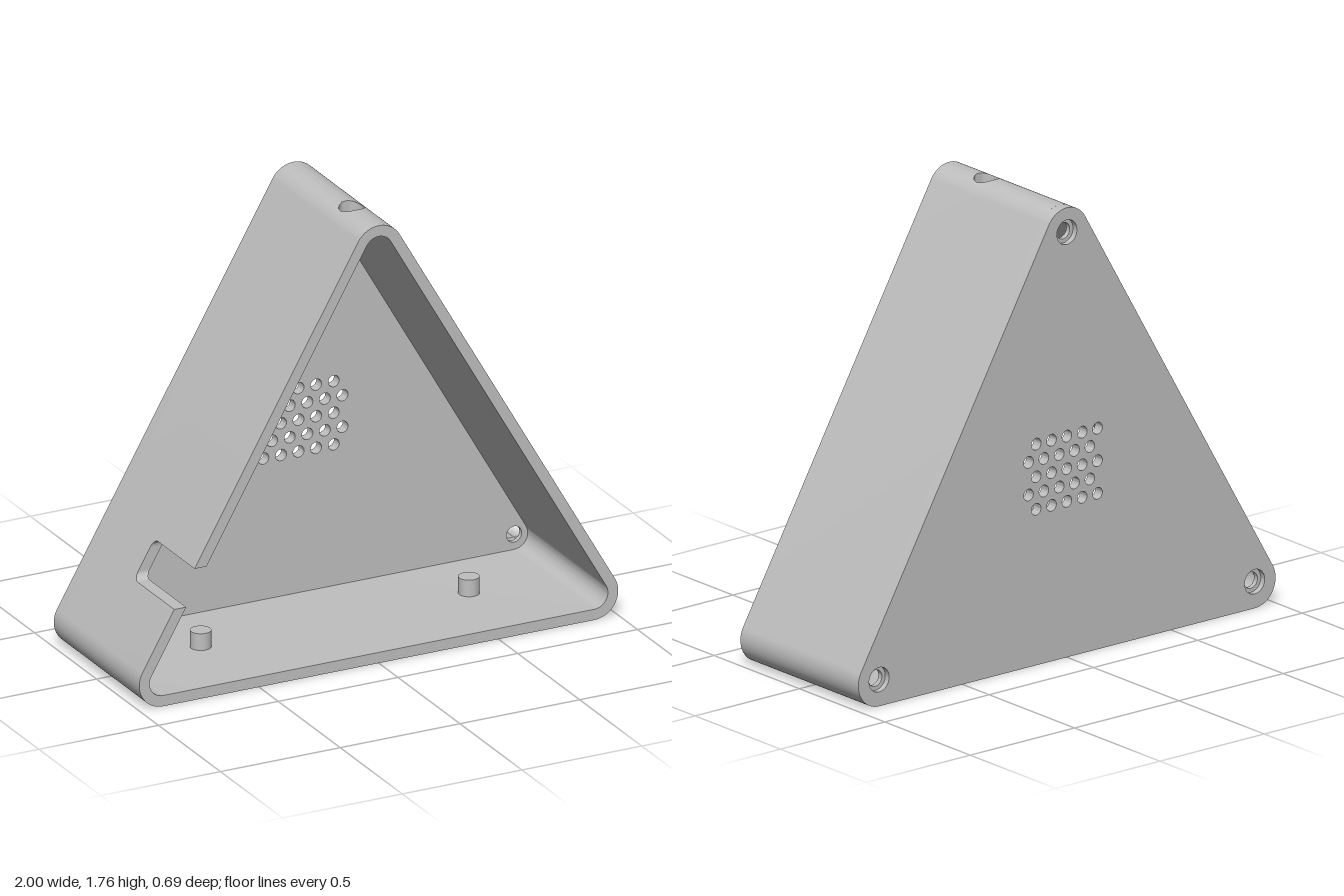
import * as THREE from 'three';
import { mergeGeometries, toCreasedNormals } from 'three/addons/utils/BufferGeometryUtils.js';

const R = 0.1, r = 0.057;                 // outer and inner corner radius
const BACK = -0.345, FLOOR = -0.302, FRONT = 0.345;
const H = 0.1 + 0.9 * Math.sqrt(3);       // height of the apex centre
const RIGHT = [0.9, 0.1], TOP = [0, H], LEFT = [-0.9, 0.1];
const DEG = Math.PI / 180;

const V = (x, y) => new THREE.Vector2(x, y);

function arc([cx, cy], rad, from, to, n = 24) {
  const pts = [];
  for (let i = 0; i <= n; i++) {
    const a = (from + (to - from) * i / n) * DEG;
    pts.push(V(cx + rad * Math.cos(a), cy + rad * Math.sin(a)));
  }
  return pts;
}

function extrude(shape, z0, z1) {
  const g = new THREE.ExtrudeGeometry(shape, { depth: z1 - z0, bevelEnabled: false, curveSegments: 24 });
  return g.translate(0, 0, z0);
}

function join(list) {
  const clean = list.map(g => {
    const c = g.index ? g.toNonIndexed() : g;
    c.deleteAttribute('uv');
    c.deleteAttribute('normal');
    return c;
  });
  return toCreasedNormals(mergeGeometries(clean), 0.5);
}

// Back plate with counterbored screw holes and a staggered grille
function backPlate() {
  const layer = (screwRadius, z0, z1) => {
    const s = new THREE.Shape([...arc(RIGHT, R, -90, 30), ...arc(TOP, R, 30, 150), ...arc(LEFT, R, 150, 270)]);
    const hole = (x, y, rad) => s.holes.push(new THREE.Path().absarc(x, y, rad, 0, Math.PI * 2, true));
    for (const [x, y] of [RIGHT, TOP, LEFT]) hole(x, y + 0.004, screwRadius);
    for (let row = 0; row < 5; row++)
      for (let col = 0; col < 5; col++)
        hole(-0.147 + col * 0.0735 + (row % 2) * 0.0367, 0.61 + row * 0.0637, 0.023);
    return extrude(s, z0, z1);
  };
  const step = BACK + 0.023;
  return join([layer(0.048, BACK, step), layer(0.032, step, FLOOR)]);
}

// Horizontal position of the left wall at height y, for corner radius rad
const wallX = (y, rad) => -0.9 + (y - 0.1) / Math.sqrt(3) - rad * 2 / Math.sqrt(3);

// Left wall panel with a round-cornered slot open to the front
function slotPanel(y0, y1) {
  const lo = 0.38, hi = 0.527, end = 0.02, f = 0.03;
  const s = new THREE.Shape();
  s.moveTo(FLOOR, y0);
  s.lineTo(FRONT, y0);
  s.lineTo(FRONT, lo);
  s.lineTo(end + f, lo);
  s.absarc(end + f, lo + f, f, -Math.PI / 2, -Math.PI, true);
  s.lineTo(end, hi - f);
  s.absarc(end + f, hi - f, f, Math.PI, Math.PI / 2, true);
  s.lineTo(FRONT, hi);
  s.lineTo(FRONT, y1);
  s.lineTo(FLOOR, y1);
  const g = extrude(s, 0, wallX(0, r) - wallX(0, R));
  const p = g.attributes.position;
  for (let i = 0; i < p.count; i++) {
    const u = p.getX(i), y = p.getY(i), w = p.getZ(i);
    p.setXYZ(i, wallX(y, r) - w, y, u);   // slant the panel along the wall
  }
  return g;
}

// Curved square of the apex with a round vertical hole
function apexPatch(w, zc) {
  const N = 48, K = 5, hole = 0.0475, loops = [];
  const loop = (t, rad) => {
    const pts = [];
    for (let i = 0; i <= N; i++) {
      const a = i / N * Math.PI * 2, c = Math.cos(a), s = Math.sin(a);
      const d = THREE.MathUtils.lerp(w / Math.max(Math.abs(c), Math.abs(s)), hole, t);
      pts.push([d * c, H + Math.sqrt(rad * rad - d * c * d * c), zc + d * s]);
    }
    loops.push(pts);
  };
  for (let k = 0; k <= K; k++) loop(k / K, R);
  for (let k = K; k >= 0; k--) loop(k / K, r);
  const pos = [];
  for (let j = 0; j + 1 < loops.length; j++)
    for (let i = 0; i < N; i++) {
      const a = loops[j][i], b = loops[j][i + 1], c = loops[j + 1][i], d = loops[j + 1][i + 1];
      pos.push(...a, ...c, ...b, ...b, ...c, ...d);
    }
  const g = new THREE.BufferGeometry();
  g.setAttribute('position', new THREE.Float32BufferAttribute(pos, 3));
  return g;
}

// Surrounding wall, divided around the slot and the apex hole
function sideWalls() {
  const y0 = 0.3, y1 = 0.6, w = r * Math.cos(30 * DEG) - 1e-5, zc = 0.125;
  const cut = Math.acos(w / R) / DEG, cutIn = Math.acos(w / r) / DEG;
  const main = new THREE.Shape([
    V(wallX(y0, R), y0), ...arc(LEFT, R, 150, 270), ...arc(RIGHT, R, -90, 30), ...arc(TOP, R, 30, cut, 8),
    V(w, H + r * Math.sin(cutIn * DEG)),
    ...arc(RIGHT, r, 30, -90), ...arc(LEFT, r, 270, 150), V(wallX(y0, r), y0),
  ]);
  const upperLeft = new THREE.Shape([
    ...arc(TOP, R, 180 - cut, 150, 8), V(wallX(y1, R), y1), V(wallX(y1, r), y1),
    V(-w, H + r * Math.sin(cutIn * DEG)),
  ]);
  const cap = new THREE.Shape([...arc(TOP, R, cut, 180 - cut), ...arc(TOP, r, 180 - cutIn, cutIn)]);
  return join([
    extrude(main, FLOOR, FRONT),
    extrude(upperLeft, FLOOR, FRONT),
    extrude(cap, FLOOR, zc - w),
    extrude(cap, zc + w, FRONT),
    apexPatch(w, zc),
    slotPanel(y0, y1),
  ]);
}

export function createModel() {
  const group = new THREE.Group();
  const grey = new THREE.MeshStandardMaterial({ color: 0xbfbfbf });
  grey.name = 'grey';
  const add = (name, geometry) => {
    const mesh = new THREE.Mesh(geometry, grey);
    mesh.name = name;
    group.add(mesh);
    return mesh;
  };
  add('backPlate', backPlate());
  add('sideWalls', sideWalls());
  // Locating pegs on the floor
  for (const [name, side] of [['leftPeg', 1], ['rightPeg', -1]])
    add(name, new THREE.CylinderGeometry(0.04, 0.04, 0.08, 32)).position.set(side * 0.56, 0.07, -0.01);
  return group;
}
